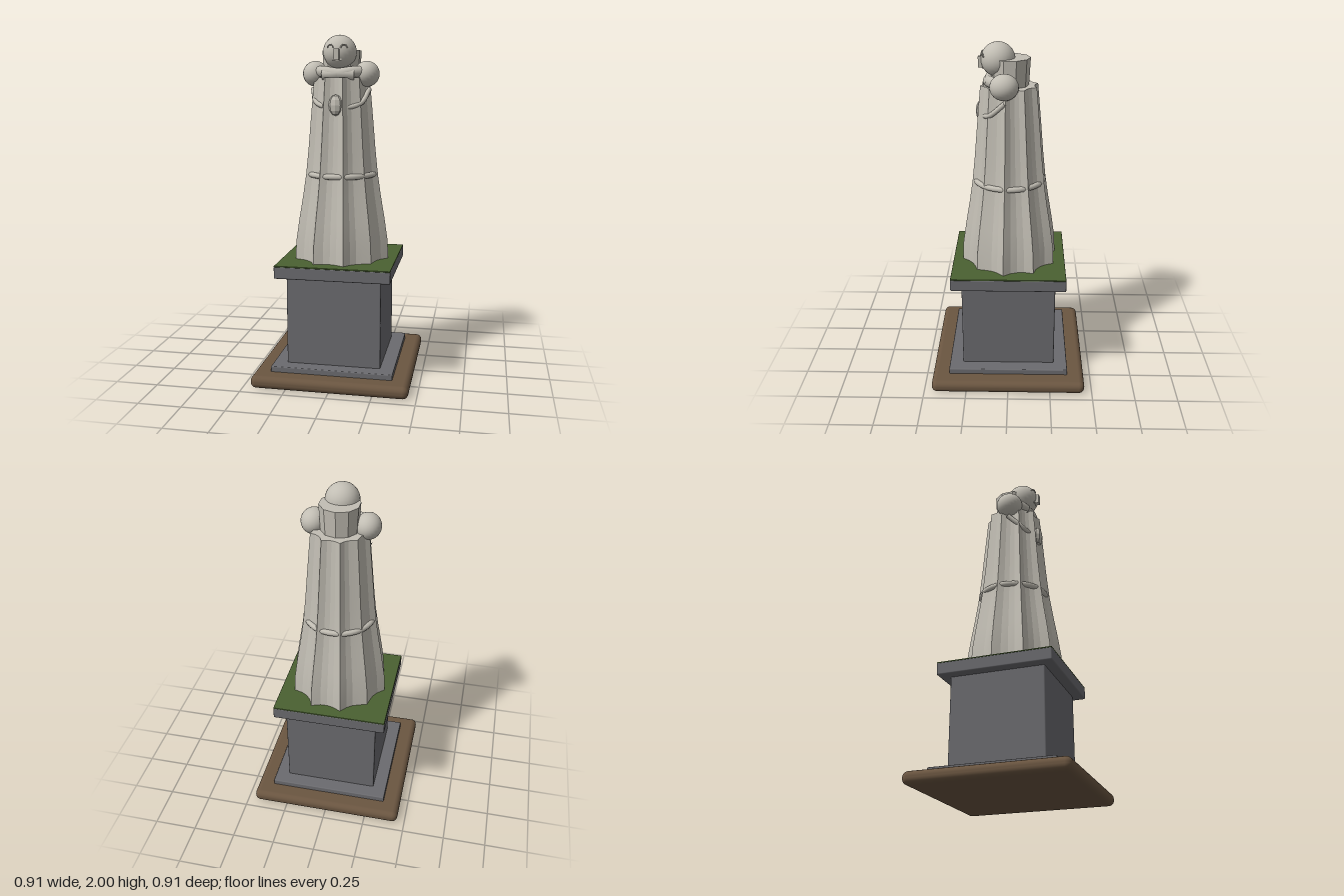
import * as THREE from 'three';
import { toCreasedNormals } from 'three/addons/utils/BufferGeometryUtils.js';
import { RoundedBoxGeometry } from 'three/addons/geometries/RoundedBoxGeometry.js';

const mat = (name, color) => Object.assign(new THREE.MeshStandardMaterial({ color }), { name });
const V = (x, y, z) => new THREE.Vector3(x, y, z);

// Gown lofted from star-shaped rings: ten sharp ridges with soft valleys
function robeGeometry() {
  const profile = [[0.705, 0.290], [0.82, 0.284], [0.95, 0.264], [1.08, 0.241], [1.21, 0.221],
    [1.36, 0.205], [1.52, 0.191], [1.66, 0.178], [1.765, 0.168]];
  const folds = 10, n = folds * 4, start = THREE.MathUtils.degToRad(78);
  const depth = [1, 0.88, 0.85, 0.88];
  const pos = [], index = [];
  profile.forEach(([y, r]) => {
    for (let i = 0; i < n; i++) {
      const a = start + (i / n) * Math.PI * 2;
      const soft = 1 - 0.05 * Math.max(0, Math.cos(2 * (a - 0.77))) * (i % 4 === 0 ? 1 : 0);
      const q = r * depth[i % 4] * soft;
      pos.push(q * Math.cos(a), y, q * Math.sin(a));
    }
  });
  for (let j = 0; j < profile.length - 1; j++) {
    for (let i = 0; i < n; i++) {
      const k = (i + 1) % n, a = j * n + i, b = j * n + k;
      index.push(a, a + n, b, b, a + n, b + n);
    }
  }
  // Closed shoulders and hem
  const top = (profile.length - 1) * n, c = pos.length / 3;
  pos.push(0, 1.765, 0, 0, 0.705, 0);
  for (let i = 0; i < n; i++) {
    const k = (i + 1) % n;
    index.push(c, top + k, top + i, c + 1, i, k);
  }
  const g = new THREE.BufferGeometry();
  g.setAttribute('position', new THREE.Float32BufferAttribute(pos, 3));
  g.setIndex(index);
  return toCreasedNormals(g, 0.2);
}

export function createModel() {
  const model = new THREE.Group();
  model.name = 'statueOnPedestal';
  const stone = mat('paleStone', 0xc2beb4);
  const grey = mat('greyStone', 0x6b6b6f);
  const wood = mat('brownWood', 0x6b5641);
  const grass = mat('greenTop', 0x4a6131);

  const add = (name, geo, material, x = 0, y = 0, z = 0) => {
    const m = new THREE.Mesh(geo, material);
    m.name = name;
    m.position.set(x, y, z);
    model.add(m);
    return m;
  };
  const slab = (name, width, y0, y1, radius, material) =>
    add(name, new RoundedBoxGeometry(width, y1 - y0, width, 3, radius), material, 0, (y0 + y1) / 2, 0);
  const ball = (name, x, y, z, rx, ry, rz) => {
    const m = add(name, new THREE.SphereGeometry(1, 24, 16), stone, x, y, z);
    m.scale.set(rx, ry, rz);
    return m;
  };
  const tube = (name, points, r) =>
    add(name, new THREE.TubeGeometry(new THREE.CatmullRomCurve3(points), 24, r, 10), stone);

  // Pedestal
  slab('base', 0.91, 0.005, 0.078, 0.033, wood);
  slab('step', 0.71, 0.07, 0.11, 0.006, grey);
  slab('plinth', 0.55, 0.105, 0.635, 0.008, grey);
  slab('cap', 0.67, 0.632, 0.704, 0.008, grey);
  slab('grassPlate', 0.668, 0.700, 0.708, 0.003, grass);

  // Gown, with a cord that shows only between the folds
  add('robe', robeGeometry(), stone);
  add('waistCord', new THREE.TorusGeometry(0.195, 0.017, 8, 40).rotateX(Math.PI / 2), stone, 0, 1.208, 0);

  // Raised hood behind the head
  add('hood', toCreasedNormals(new THREE.CylinderGeometry(0.114, 0.105, 0.155, 10), 0.3), stone, 0, 1.84, -0.005);

  // Head and face
  ball('head', 0, 1.907, 0.062, 0.096, 0.096, 0.096);
  add('nose', new THREE.BoxGeometry(0.028, 0.062, 0.03), stone, 0, 1.892, 0.158);
  add('mouth', new THREE.BoxGeometry(0.05, 0.01, 0.025), stone, 0, 1.865, 0.138);

  for (const s of [-1, 1]) {
    // Brow arch, shoulder, folded arm
    const brow = add('brow', new THREE.TorusGeometry(0.018, 0.004, 6, 12, Math.PI), stone, s * 0.039, 1.928, 0.148);
    brow.rotation.y = s * 0.4;
    ball('shoulder', s * 0.15, 1.785, 0.025, 0.073, 0.073, 0.08);
    tube('foldedArm', [V(s * 0.15, 1.80, 0.05), V(s * 0.07, 1.795, 0.1), V(0, 1.785, 0.115),
      V(-s * 0.09, 1.78, 0.105)], 0.032);
  }

  // Necklace and pendant
  tube('necklace', [V(-0.165, 1.70, 0.02), V(-0.125, 1.62, 0.105), V(0, 1.595, 0.145),
    V(0.125, 1.62, 0.105), V(0.165, 1.70, 0.02)], 0.014);
  const pendant = add('pendant', toCreasedNormals(new THREE.SphereGeometry(1, 8, 6), 0.3), stone, -0.005, 1.612, 0.162);
  pendant.scale.set(0.042, 0.06, 0.028);

  return model;
}
